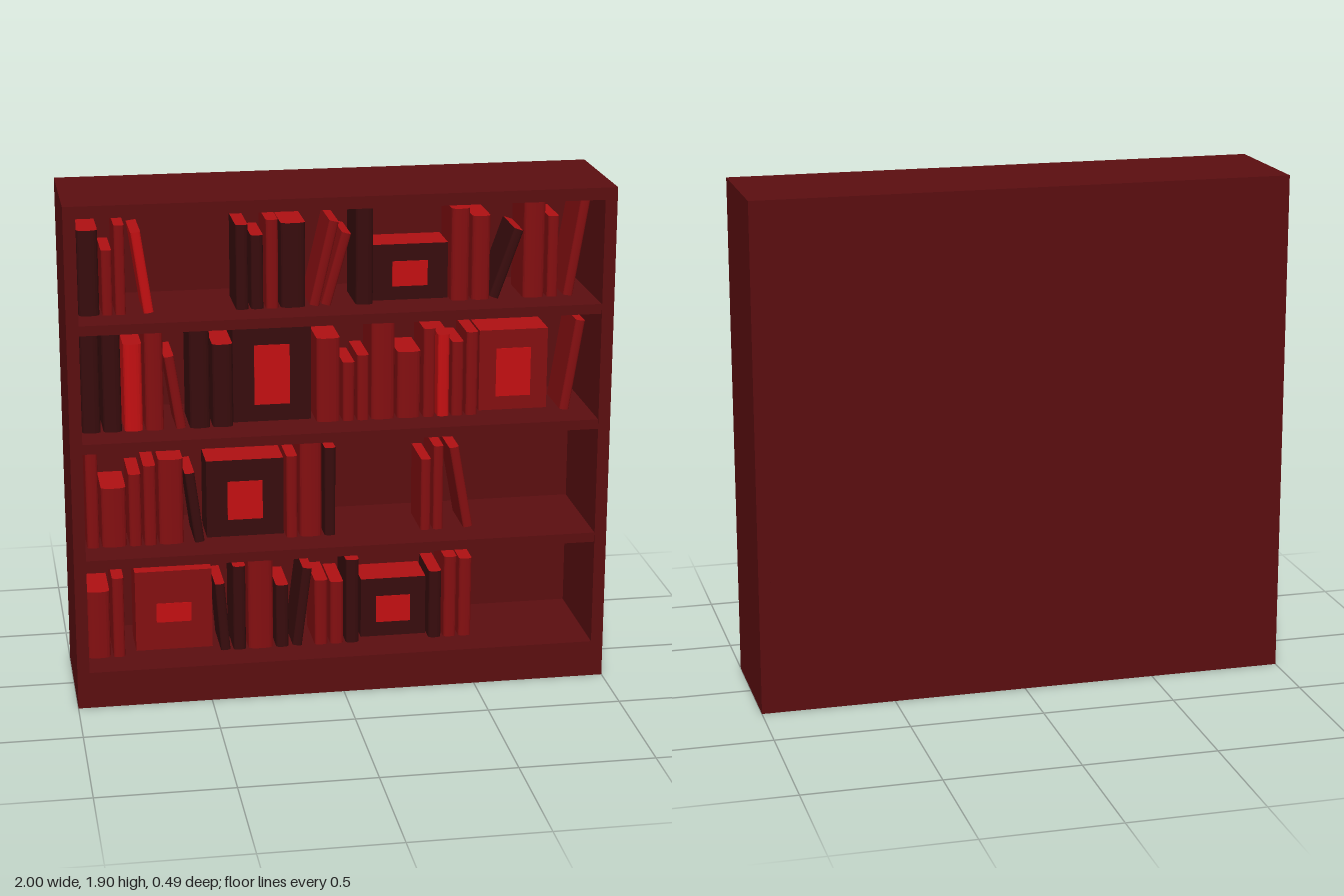
import * as THREE from 'three';

const mat = (color) => new THREE.MeshStandardMaterial({ color });
const wood = mat(0x5c0e10);
const pages = mat(0xb01012);
const tones = { d: mat(0x380c0d), m: mat(0x840f11), b: mat(0xc41012) };

function box(name, x0, x1, y0, y1, z0, z1, material) {
  const mesh = new THREE.Mesh(new THREE.BoxGeometry(x1 - x0, y1 - y0, z1 - z0), material);
  mesh.position.set((x0 + x1) / 2, (y0 + y1) / 2, (z0 + z1) / 2);
  mesh.name = name;
  return mesh;
}

// Book with a rounded spine, standing on y = 0; its top leans by "shift" along x
function book(x, w, height, tone, shift = 0) {
  const angle = Math.atan2(shift, height);
  const sink = Math.abs(Math.sin(angle)) * w;
  const bulge = Math.min(w * 0.3, 0.02), depth = 0.2;
  const shape = new THREE.Shape();
  shape.moveTo(-w / 2, depth);
  shape.lineTo(-w / 2, bulge);
  shape.quadraticCurveTo(-w / 2, 0, 0, 0);
  shape.quadraticCurveTo(w / 2, 0, w / 2, bulge);
  shape.lineTo(w / 2, depth);
  shape.closePath();
  const geo = new THREE.ExtrudeGeometry(shape, {
    depth: (height - sink) / Math.cos(angle), bevelEnabled: false, curveSegments: 5,
  });
  geo.rotateX(-Math.PI / 2);
  const mesh = new THREE.Mesh(geo, [pages, tones[tone]]);
  mesh.name = 'book';
  mesh.position.set(x, sink / 2, 0.11);
  mesh.rotation.z = -angle;
  return mesh;
}

// Upright books filling left..right; a capital tone letter is a double-width book
function run(left, right, letters, heights) {
  const g = new THREE.Group(), gap = 0.01;
  g.name = 'uprightBooks';
  const units = [...letters].map((c) => (c === c.toUpperCase() ? 2 : 1));
  const total = units.reduce((a, b) => a + b);
  const unit = (right - left - gap * (units.length - 1)) / total;
  let x = left;
  heights.forEach((h, i) => {
    const w = units[i] * unit;
    g.add(book(x + w / 2, w, h, letters[i].toLowerCase()));
    x += w + gap;
  });
  return g;
}

const lean = (x, height, shift, tone) => book(x, 0.036, height, tone, shift);

// Face-out volume with a bright panel covering part of its height
function display(left, right, height, tone, panel) {
  const g = new THREE.Group(), t = tones[tone];
  g.name = 'displayBook';
  const x = (left + right) / 2, y = height * 0.47, half = height * panel / 2;
  g.add(box('cover', left, right, 0, height, -0.1, 0.06, [t, t, pages, t, t, t]));
  g.add(box('coverPanel', x - 0.066, x + 0.066, y - half, y + half, 0.058, 0.063, tones.b));
  return g;
}

function row(floor, ...items) {
  const g = new THREE.Group();
  g.name = 'bookRow';
  g.position.y = floor;
  g.add(...items);
  return g;
}

export function createModel() {
  const model = new THREE.Group();
  model.name = 'bookcase';
  const H = 1.905, Z = 0.243, inner = 0.955, back = -0.2;
  const [first, second, third, fourth] = [0.14, 0.58, 1.027, 1.47];

  // Carcass
  model.add(
    box('rightSide', -1, -inner, 0, H, -Z, Z, wood),
    box('leftSide', inner, 1, 0, H, -Z, Z, wood),
    box('topBoard', -inner, inner, 1.86, H, -Z, Z, wood),
    box('base', -inner, inner, 0, first, -Z, Z, wood),
    box('backPanel', -inner, inner, first, 1.86, -Z, back, wood),
  );
  for (const y of [second, third, fourth]) {
    model.add(box('shelf', -inner, inner, y - 0.037, y, back, Z - 0.004, wood));
  }

  // Top row
  model.add(row(fourth,
    run(-0.945, -0.775, 'Dmm', [0.315, 0.24, 0.33]),
    lean(-0.693, 0.305, -0.043, 'b'),
    run(-0.375, -0.12, 'ddmD', [0.315, 0.275, 0.33, 0.315]),
    lean(-0.088, 0.32, 0.075, 'm'),
    lean(-0.045, 0.275, 0.078, 'm'),
    run(0.065, 0.13, 'd', [0.365]),
    display(0.132, 0.415, 0.21, 'd', 0.45),
    run(0.42, 0.565, 'mm', [0.345, 0.315]),
    lean(0.58, 0.265, 0.095, 'd'),
    run(0.69, 0.82, 'Mm', [0.37, 0.305]),
    lean(0.86, 0.37, 0.06, 'm'),
  ));

  // Third row
  model.add(row(third,
    run(-0.945, -0.645, 'ddbm', [0.375, 0.39, 0.33, 0.375]),
    lean(-0.583, 0.28, -0.042, 'm'),
    run(-0.55, -0.39, 'dd', [0.375, 0.315]),
    display(-0.385, -0.095, 0.38, 'd', 0.6),
    run(-0.08, 0.525, 'MmmMMmbmm', [0.32, 0.225, 0.25, 0.375, 0.255, 0.34, 0.315, 0.285, 0.32]),
    display(0.54, 0.8, 0.31, 'm', 0.6),
    lean(0.858, 0.35, 0.055, 'm'),
  ));

  // Second row
  model.add(row(second,
    run(-0.94, -0.58, 'mMmmM', [0.38, 0.23, 0.28, 0.31, 0.33]),
    lean(-0.522, 0.275, -0.035, 'd'),
    display(-0.49, -0.2, 0.3, 'd', 0.5),
    run(-0.195, -0.01, 'mMd', [0.32, 0.385, 0.345]),
    run(0.315, 0.4, 'mm', [0.28, 0.33]),
    lean(0.497, 0.325, -0.058, 'm'),
  ));

  // Bottom row
  model.add(row(first,
    run(-0.95, -0.81, 'Mm', [0.265, 0.315]),
    display(-0.765, -0.475, 0.315, 'm', 0.24),
    lean(-0.43, 0.27, -0.02, 'd'),
    run(-0.4, -0.19, 'dMd', [0.335, 0.37, 0.25]),
    lean(-0.157, 0.315, 0.04, 'd'),
    run(-0.09, 0.08, 'mmd', [0.26, 0.25, 0.335]),
    display(0.095, 0.345, 0.235, 'd', 0.45),
    run(0.35, 0.515, 'dmm', [0.27, 0.325, 0.315]),
  ));
  return model;
}
